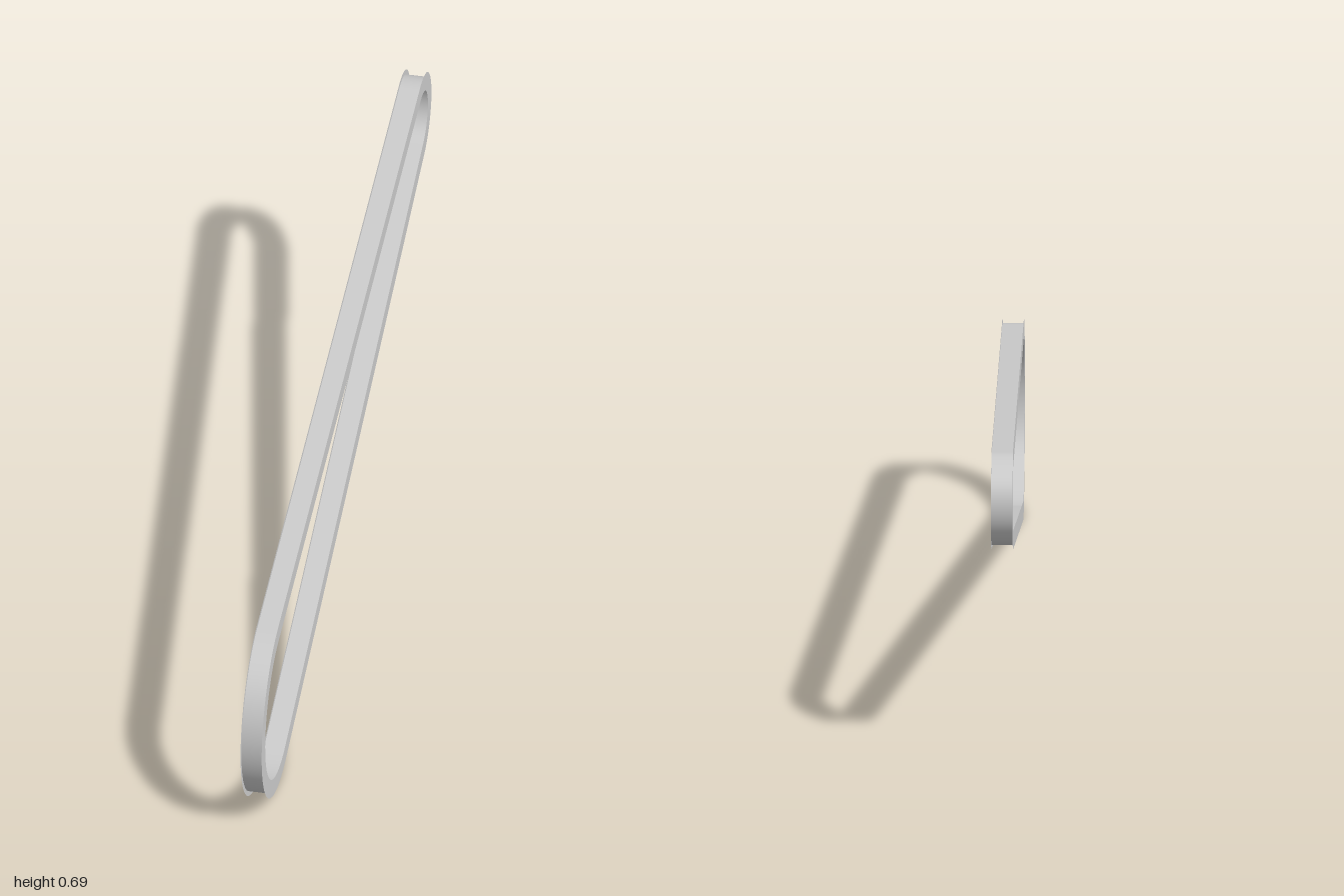
import * as THREE from 'three';

const HALF_WIDTH = 0.024;
const BAND = 0.042;   // width of the side plates
const INSET = 0.011;  // depth of the grooves between the plates
const big = { z: 0.775, y: 0.225, r: 0.225 };
const small = { z: -0.885, y: 0.58, r: 0.115 };

// Closed loop around both end circles, moved inward by a given inset
function loopPoints(inset, steps = 40) {
  const dz = small.z - big.z, dy = small.y - big.y;
  const axis = Math.atan2(dy, dz);
  const spread = Math.acos((big.r - small.r) / Math.hypot(dz, dy));
  const points = [];
  const arc = (c, from, to) => {
    for (let i = 0; i <= steps; i++) {
      const a = from + (to - from) * i / steps;
      const n = new THREE.Vector2(Math.cos(a), Math.sin(a));
      points.push({ n, p: new THREE.Vector2(c.z, c.y).addScaledVector(n, c.r - inset) });
    }
  };
  arc(small, axis - spread, axis + spread);
  arc(big, axis + spread, axis + 2 * Math.PI - spread);
  return points;
}

// Smooth wall running across the belt; side is 1 facing out, -1 facing in
function wallGeometry(inset, side) {
  const loop = loopPoints(inset);
  const positions = [], normals = [], index = [];
  loop.forEach(({ p, n }, i) => {
    for (const x of [HALF_WIDTH, -HALF_WIDTH]) {
      positions.push(x, p.y, p.x);
      normals.push(0, n.y * side, n.x * side);
    }
    const a = 2 * i, b = 2 * ((i + 1) % loop.length);
    if (side > 0) index.push(a, b, b + 1, a, b + 1, a + 1);
    else index.push(a, b + 1, b, a, a + 1, b + 1);
  });
  const geometry = new THREE.BufferGeometry();
  geometry.setAttribute('position', new THREE.Float32BufferAttribute(positions, 3));
  geometry.setAttribute('normal', new THREE.Float32BufferAttribute(normals, 3));
  geometry.setIndex(index);
  return geometry;
}

export function createModel() {
  const group = new THREE.Group();
  group.name = 'driveChain';
  const material = new THREE.MeshStandardMaterial({ color: 0xcccccc, side: THREE.DoubleSide });
  const add = (name, geometry) => {
    const mesh = new THREE.Mesh(geometry, material);
    mesh.name = name;
    group.add(mesh);
    return mesh;
  };

  // Groove floors on the outside and inside of the loop
  add('outerWall', wallGeometry(INSET, 1));
  add('innerWall', wallGeometry(BAND - INSET, -1));

  // Thin side plates that stand proud of the groove floors
  for (const side of [1, -1]) {
    const shape = new THREE.Shape(loopPoints(0).map(({ p }) => p));
    shape.holes.push(new THREE.Path(loopPoints(BAND).map(({ p }) => p)));
    const geometry = new THREE.ShapeGeometry(shape);
    // Turn the plate into the z-y plane, facing away from the middle
    if (side > 0) geometry.scale(-1, 1, 1).rotateY(Math.PI / 2);
    else geometry.rotateY(-Math.PI / 2);
    if (side > 0) {
      // Mirroring reverses the corner order, so swap it back
      const idx = geometry.index;
      for (let i = 0; i < idx.count; i += 3) {
        const b = idx.getX(i + 1);
        idx.setX(i + 1, idx.getX(i + 2));
        idx.setX(i + 2, b);
      }
      const normal = geometry.attributes.normal;
      for (let i = 0; i < normal.count; i++) normal.setXYZ(i, 1, 0, 0);
    }
    add(side > 0 ? 'leftPlate' : 'rightPlate', geometry).position.x = side * HALF_WIDTH;
  }
  return group;
}
